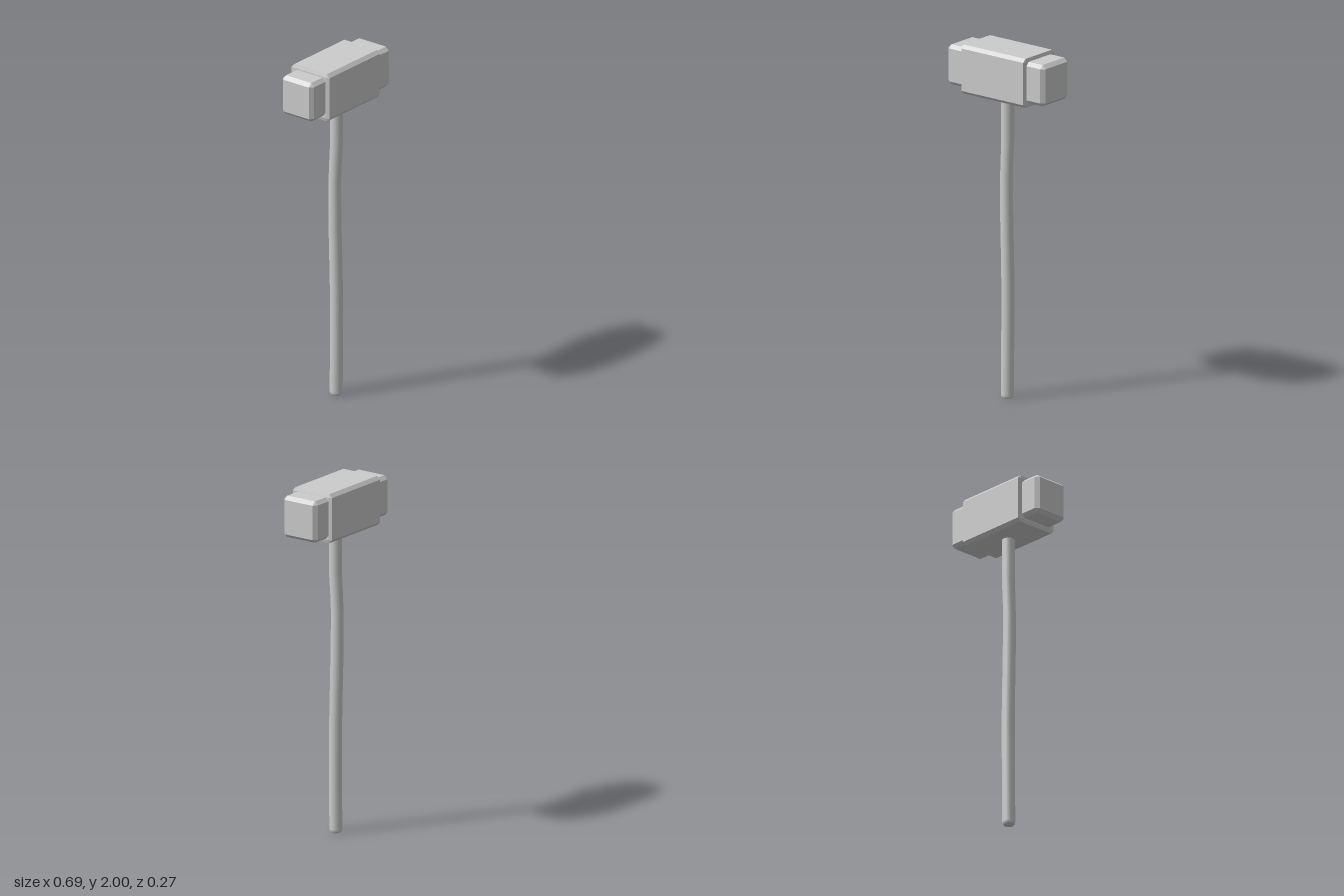
import * as THREE from 'three';
import { ConvexGeometry } from 'three/addons/geometries/ConvexGeometry.js';

const material = new THREE.MeshStandardMaterial({ color: 0xcccccc });

// Box between two corners with chamfered edges; c = [cx, cy, cz] cut along each axis
function chamferedBox(name, min, max, c) {
  const points = [];
  for (let corner = 0; corner < 8; corner++) {
    for (let face = 0; face < 3; face++) {
      const p = [0, 1, 2].map((axis) => {
        const high = (corner >> axis) & 1;
        const inset = axis === face ? 0 : c[axis];
        return high ? max[axis] - inset : min[axis] + inset;
      });
      points.push(new THREE.Vector3(...p));
    }
  }
  const mesh = new THREE.Mesh(new ConvexGeometry(points), material);
  mesh.name = name;
  return mesh;
}

// Slightly crooked shaft: rows of [y, radius, centre x, centre z]
function createHandle() {
  const rows = [
    [0, 0, 0, 0.002],
    [0, 0.027, 0, 0.002],
    [0.006, 0.033, 0, 0.002],
    [0.02, 0.036, 0, 0.002],
    [0.3, 0.036, 0.003, 0.002],
    [0.6, 0.036, 0.004, 0.001],
    [0.75, 0.036, 0.001, 0],
    [1.0, 0.036, -0.006, -0.001],
    [1.25, 0.035, -0.009, -0.001],
    [1.36, 0.035, -0.004, 0],
    [1.48, 0.036, 0.003, 0.002],
    [1.8, 0.036, 0.004, 0.003],
  ];
  const geometry = new THREE.LatheGeometry(rows.map(([y, r]) => new THREE.Vector2(r, y)), 16);
  const pos = geometry.attributes.position;
  for (let i = 0; i < pos.count; i++) {
    const [, , dx, dz] = rows[i % rows.length];
    pos.setX(i, pos.getX(i) + dx);
    pos.setZ(i, pos.getZ(i) + dz);
  }
  const mesh = new THREE.Mesh(geometry, material);
  mesh.name = 'handle';
  return mesh;
}

export function createModel() {
  const model = new THREE.Group();
  model.name = 'mallet';

  // Head: a wide central block with a smaller striking block at each end
  const head = new THREE.Group();
  head.name = 'head';
  head.add(
    chamferedBox('headBlock', [-0.225, 1.72, -0.135], [0.225, 2, 0.132], [0.006, 0.019, 0.019]),
    chamferedBox('leftStrikingBlock', [0.1, 1.744, -0.115], [0.345, 1.98, 0.112], [0.022, 0.02, 0.02]),
    chamferedBox('rightStrikingBlock', [-0.345, 1.747, -0.11], [-0.1, 1.975, 0.107], [0.022, 0.02, 0.02])
  );

  model.add(head, createHandle());
  return model;
}
